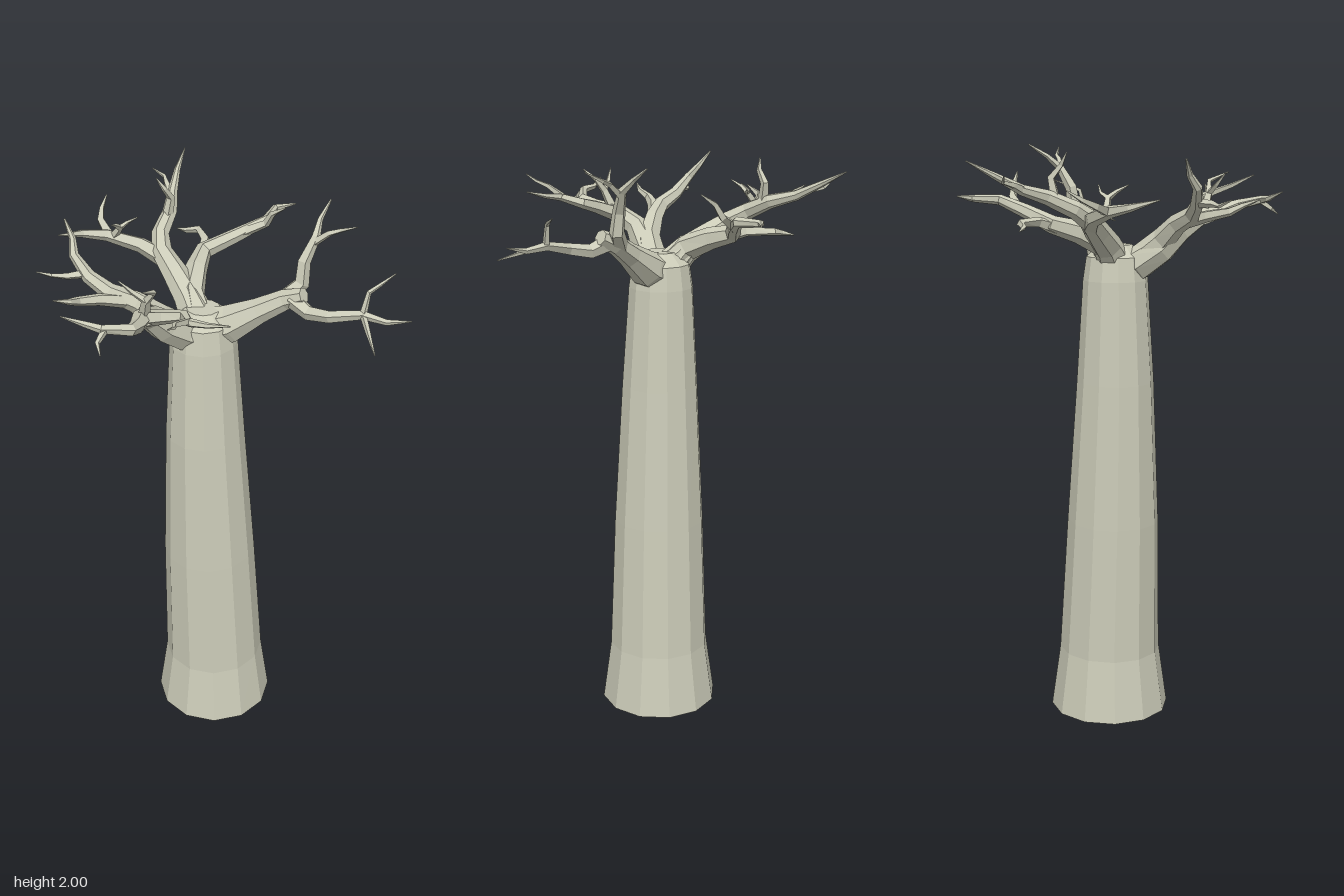
import * as THREE from 'three';

// Skin a path of [x, y, z, radius] stations with faceted rings and closed ends
function loft(stations, sides) {
  const pts = stations.map(([x, y, z]) => new THREE.Vector3(x, y, z));
  const u = new THREE.Vector3(0, 0, 1);
  const pos = [], idx = [], last = pts.length - 1;
  pts.forEach((p, i) => {
    const t = new THREE.Vector3();
    if (i > 0) t.add(p.clone().sub(pts[i - 1]).normalize());
    if (i < last) t.add(pts[i + 1].clone().sub(p).normalize());
    t.normalize();
    u.addScaledVector(t, -u.dot(t));
    if (u.lengthSq() < 0.02) u.set(1, 0, 0).addScaledVector(t, -t.x);
    u.normalize();
    const v = t.clone().cross(u);
    for (let j = 0; j < sides; j++) {
      const a = (j / sides) * Math.PI * 2;
      const q = p.clone()
        .addScaledVector(u, stations[i][3] * Math.cos(a))
        .addScaledVector(v, stations[i][3] * Math.sin(a));
      pos.push(q.x, q.y, q.z);
    }
  });
  const base = pos.length / 3;
  pos.push(...pts[0].toArray(), ...pts[last].toArray());
  for (let j = 0; j < sides; j++) {
    const k = (j + 1) % sides;
    for (let i = 0; i < last; i++) {
      const a = i * sides + j, b = i * sides + k;
      idx.push(a, b, b + sides, a, b + sides, a + sides);
    }
    idx.push(base, k, j, base + 1, last * sides + j, last * sides + k);
  }
  const geo = new THREE.BufferGeometry();
  geo.setAttribute('position', new THREE.Float32BufferAttribute(pos, 3));
  geo.setIndex(idx);
  const flat = geo.toNonIndexed();
  flat.computeVertexNormals();
  return flat;
}

export function createModel() {
  const model = new THREE.Group();
  model.name = 'tree';
  const bark = new THREE.MeshStandardMaterial({ color: 0xcbcbb8, flatShading: true });
  bark.name = 'paleBark';

  const add = (parent, name, sides, ...stations) => {
    const mesh = new THREE.Mesh(loft(stations, sides), bark);
    mesh.name = name;
    parent.add(mesh);
  };
  const crown = (name) => {
    const g = new THREE.Group();
    g.name = name;
    model.add(g);
    return g;
  };

  // Swollen trunk, twelve sided, leaning slightly
  add(model, 'trunk', 12,
    [-0.03, 0, 0.04, 0.21], [-0.03, 0.22, 0.04, 0.179], [-0.045, 0.7, 0.043, 0.161],
    [-0.057, 1.2, 0.043, 0.134], [-0.06, 1.55, 0.04, 0.112], [-0.06, 1.63, 0.04, 0.1],
    [-0.06, 1.67, 0.04, 0.055]);

  // Left limb: an upright fork and a long outward fork
  const left = crown('leftLimb');
  add(left, 'limb', 7, [-0.06, 1.59, 0.04, 0.07], [0.03, 1.625, 0.06, 0.062],
    [0.12, 1.685, 0.085, 0.042], [0.2, 1.735, 0.105, 0.034], [0.255, 1.765, 0.135, 0.026]);
  add(left, 'upperBranch', 5, [0.18, 1.72, 0.095, 0.03], [0.25, 1.78, 0.08, 0.026],
    [0.255, 1.85, 0.07, 0.022], [0.29, 1.92, 0.045, 0.015], [0.305, 1.96, 0.0, 0.009],
    [0.34, 2.0, -0.055, 0.003]);
  add(left, 'upperTwig', 4, [0.28, 1.9, 0.05, 0.014], [0.33, 1.945, 0.07, 0.01],
    [0.365, 1.96, 0.08, 0.007], [0.41, 1.99, 0.12, 0.002]);
  add(left, 'lowerBranch', 5, [0.22, 1.745, 0.12, 0.03], [0.27, 1.72, 0.165, 0.024],
    [0.33, 1.735, 0.215, 0.02], [0.43, 1.76, 0.248, 0.015], [0.5, 1.755, 0.285, 0.01],
    [0.57, 1.775, 0.315, 0.002]);
  add(left, 'raisedTwig', 4, [0.43, 1.76, 0.248, 0.012], [0.445, 1.83, 0.235, 0.008],
    [0.48, 1.845, 0.215, 0.006], [0.53, 1.865, 0.18, 0.002]);
  add(left, 'hangingTwig', 4, [0.43, 1.76, 0.248, 0.011], [0.44, 1.74, 0.32, 0.008],
    [0.455, 1.71, 0.405, 0.002]);

  // Front limb sweeping out of the trunk, then forking forward
  const front = crown('frontLimb');
  add(front, 'limb', 7, [-0.06, 1.59, 0.05, 0.07], [-0.13, 1.61, 0.09, 0.06],
    [-0.185, 1.66, 0.14, 0.052], [-0.225, 1.72, 0.19, 0.04], [-0.235, 1.755, 0.25, 0.033],
    [-0.23, 1.775, 0.3, 0.026]);
  add(front, 'innerBranch', 5, [-0.235, 1.76, 0.27, 0.028], [-0.17, 1.79, 0.315, 0.023],
    [-0.11, 1.81, 0.345, 0.019], [-0.095, 1.83, 0.42, 0.014], [-0.04, 1.84, 0.455, 0.009],
    [0.025, 1.86, 0.495, 0.002]);
  add(front, 'innerTwig', 4, [-0.095, 1.83, 0.41, 0.013], [-0.135, 1.86, 0.485, 0.009],
    [-0.135, 1.875, 0.53, 0.006], [-0.15, 1.895, 0.575, 0.002]);
  add(front, 'outerBranch', 5, [-0.24, 1.76, 0.26, 0.032], [-0.25, 1.78, 0.35, 0.025],
    [-0.265, 1.8, 0.41, 0.019], [-0.35, 1.82, 0.44, 0.014], [-0.4, 1.825, 0.42, 0.01],
    [-0.47, 1.85, 0.42, 0.002]);
  add(front, 'outerTwig', 4, [-0.34, 1.815, 0.44, 0.012], [-0.36, 1.79, 0.47, 0.008],
    [-0.35, 1.77, 0.51, 0.002]);
  add(front, 'uprightTwig', 4, [-0.235, 1.77, 0.28, 0.02], [-0.225, 1.84, 0.31, 0.014],
    [-0.2, 1.88, 0.33, 0.009], [-0.23, 1.91, 0.39, 0.002]);
  add(front, 'uprightSideTwig', 4, [-0.225, 1.84, 0.31, 0.012], [-0.265, 1.87, 0.31, 0.008],
    [-0.305, 1.91, 0.315, 0.002]);

  // Right limb leaving the front limb towards the side
  const right = crown('rightLimb');
  add(right, 'limb', 6, [-0.14, 1.63, 0.1, 0.05], [-0.2, 1.69, 0.135, 0.042],
    [-0.27, 1.745, 0.14, 0.034], [-0.35, 1.78, 0.14, 0.028], [-0.415, 1.815, 0.105, 0.023],
    [-0.46, 1.87, 0.07, 0.016], [-0.465, 1.91, 0.035, 0.011], [-0.49, 1.96, 0.0, 0.003]);
  add(right, 'sideTwig', 4, [-0.43, 1.82, 0.1, 0.015], [-0.48, 1.82, 0.115, 0.011],
    [-0.53, 1.815, 0.1, 0.007], [-0.575, 1.835, 0.115, 0.002]);
  add(right, 'forwardBranch', 5, [-0.29, 1.75, 0.145, 0.024], [-0.375, 1.775, 0.18, 0.02],
    [-0.44, 1.79, 0.22, 0.015], [-0.46, 1.81, 0.26, 0.01], [-0.505, 1.83, 0.29, 0.002]);

  // Back right limb: a rear fork and a side fork
  const backRight = crown('backRightLimb');
  add(backRight, 'limb', 7, [-0.07, 1.6, 0.03, 0.065], [-0.11, 1.67, -0.03, 0.05],
    [-0.155, 1.72, -0.1, 0.043], [-0.2, 1.765, -0.165, 0.036], [-0.205, 1.8, -0.225, 0.03],
    [-0.175, 1.84, -0.31, 0.025], [-0.17, 1.865, -0.4, 0.018], [-0.155, 1.91, -0.49, 0.011],
    [-0.13, 1.955, -0.575, 0.002]);
  add(backRight, 'rearTwig', 4, [-0.17, 1.86, -0.39, 0.015], [-0.19, 1.88, -0.44, 0.011],
    [-0.2, 1.89, -0.485, 0.007], [-0.24, 1.91, -0.505, 0.002]);
  add(backRight, 'uprightTwig', 4, [-0.185, 1.82, -0.28, 0.02], [-0.17, 1.9, -0.29, 0.014],
    [-0.19, 1.94, -0.265, 0.009], [-0.215, 1.98, -0.26, 0.002]);
  add(backRight, 'sideBranch', 5, [-0.18, 1.745, -0.145, 0.034], [-0.27, 1.775, -0.195, 0.027],
    [-0.38, 1.8, -0.215, 0.021], [-0.46, 1.815, -0.195, 0.014], [-0.53, 1.84, -0.13, 0.002]);
  add(backRight, 'sideRearTwig', 4, [-0.375, 1.8, -0.215, 0.019], [-0.405, 1.82, -0.28, 0.014],
    [-0.405, 1.84, -0.33, 0.009], [-0.39, 1.87, -0.38, 0.002]);
  add(backRight, 'sideFrontTwig', 4, [-0.36, 1.795, -0.21, 0.015], [-0.335, 1.84, -0.185, 0.011],
    [-0.345, 1.86, -0.16, 0.007], [-0.355, 1.88, -0.12, 0.002]);
  add(backRight, 'sideInnerTwig', 4, [-0.335, 1.84, -0.185, 0.009], [-0.31, 1.855, -0.195, 0.006],
    [-0.275, 1.88, -0.18, 0.002]);

  // Back left limb: a long reaching branch with two offshoots
  const backLeft = crown('backLeftLimb');
  add(backLeft, 'limb', 6, [-0.08, 1.61, 0.02, 0.06], [-0.1, 1.68, -0.04, 0.046],
    [-0.085, 1.72, -0.13, 0.038], [-0.06, 1.745, -0.215, 0.03], [0.05, 1.785, -0.25, 0.024],
    [0.15, 1.82, -0.29, 0.018], [0.18, 1.825, -0.375, 0.012], [0.25, 1.83, -0.395, 0.003]);
  add(backLeft, 'sideTwig', 4, [0.07, 1.79, -0.255, 0.019], [0.145, 1.83, -0.24, 0.014],
    [0.165, 1.875, -0.22, 0.01], [0.205, 1.91, -0.185, 0.002]);
  add(backLeft, 'rearTwig', 4, [-0.065, 1.735, -0.2, 0.022], [-0.055, 1.755, -0.265, 0.018],
    [-0.08, 1.755, -0.35, 0.013], [-0.125, 1.745, -0.365, 0.009], [-0.155, 1.735, -0.4, 0.002]);

  return model;
}
